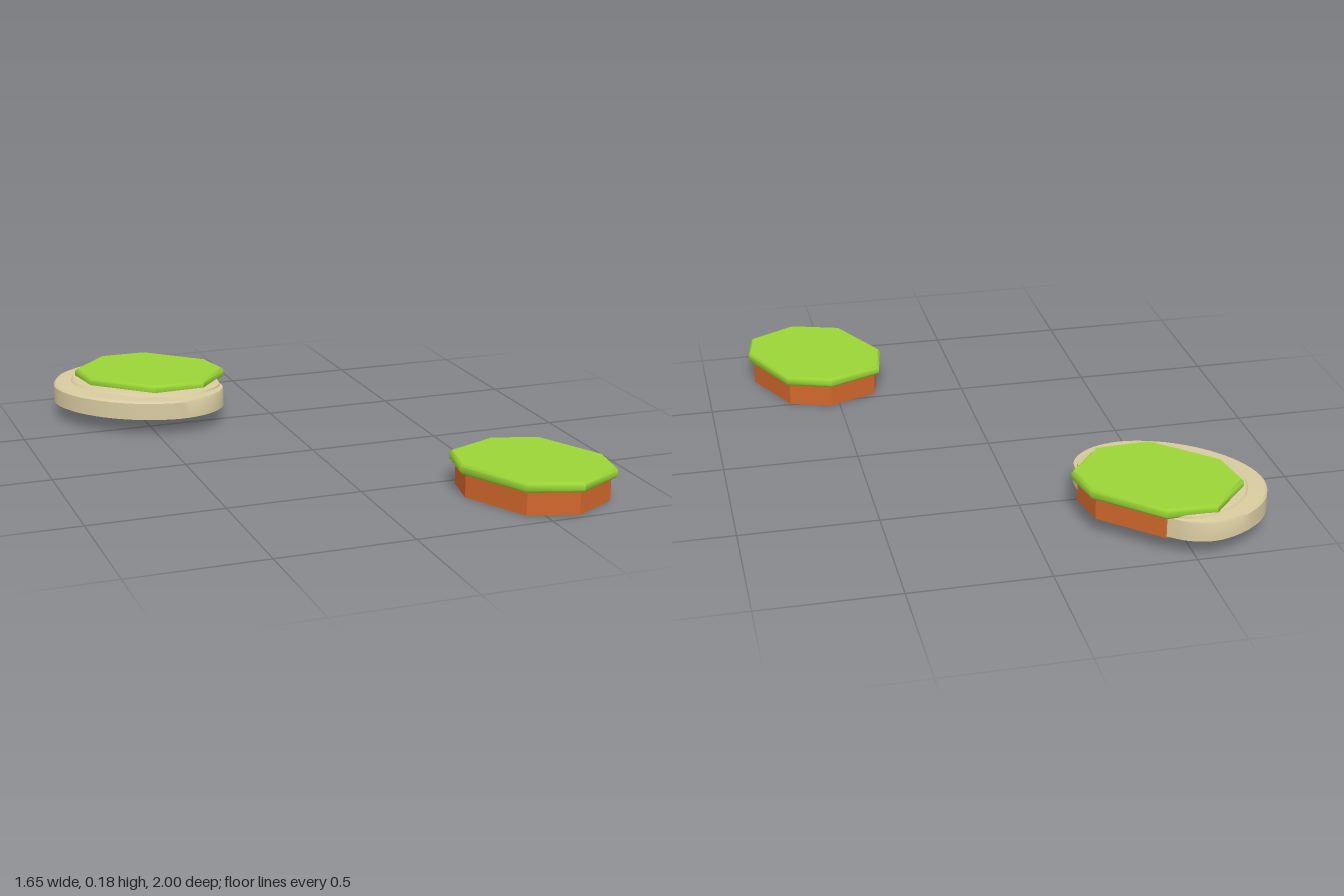
import * as THREE from 'three';
import { toCreasedNormals } from 'three/addons/utils/BufferGeometryUtils.js';

const grass = new THREE.MeshStandardMaterial({ name: 'grass green', color: 0x9ad436 });
const earth = new THREE.MeshStandardMaterial({ name: 'earth orange', color: 0xd0672c, side: THREE.DoubleSide });
const sand = new THREE.MeshStandardMaterial({ name: 'sand', color: 0xd8cba0, side: THREE.DoubleSide });

// Stacked closed loops, bottom to top, each clockwise seen from above.
function skin(loops, { top = false, bottom = false, crease = 0 } = {}) {
  const pos = [];
  const tri = (...pts) => pts.forEach((p) => pos.push(p.x, p.y, p.z));
  const centre = (loop) => loop.reduce((s, p) => s.add(p), new THREE.Vector3()).divideScalar(loop.length);
  const n = loops[0].length;
  const first = loops[0], last = loops[loops.length - 1];
  const lowCentre = centre(first), highCentre = centre(last);
  for (let i = 0; i < n; i++) {
    const j = (i + 1) % n;
    for (let k = 0; k + 1 < loops.length; k++) {
      const a = loops[k], b = loops[k + 1];
      tri(a[i], b[j], a[j]);
      tri(a[i], b[i], b[j]);
    }
    if (top) tri(highCentre, last[j], last[i]);
    if (bottom) tri(lowCentre, first[i], first[j]);
  }
  const g = new THREE.BufferGeometry();
  g.setAttribute('position', new THREE.Float32BufferAttribute(pos, 3));
  if (crease) return toCreasedNormals(g, crease);
  g.computeVertexNormals();
  return g;
}

function addMesh(parent, name, geometry, material) {
  const mesh = new THREE.Mesh(geometry, material);
  mesh.name = name;
  parent.add(mesh);
}

// Octagonal block: open earth shell under a bevelled grass slab.
function island(name, outline, y0, yGrass, yTop) {
  const group = new THREE.Group();
  group.name = name;
  const cx = outline.reduce((s, p) => s + p[0], 0) / outline.length;
  const cz = outline.reduce((s, p) => s + p[1], 0) / outline.length;
  const loop = (scale, y) => outline.map(([x, z]) =>
    new THREE.Vector3(cx + (x - cx) * scale, y, cz + (z - cz) * scale));
  addMesh(group, name + 'Earth', skin([loop(0.925, y0), loop(0.925, yGrass + 0.002)]), earth);
  addMesh(group, name + 'Grass', skin(
    [loop(0.975, yGrass), loop(1, yGrass + 0.008), loop(1, yTop - 0.009), loop(0.97, yTop)],
    { top: true, bottom: true, crease: 0.8 }), grass);
  return group;
}

// Curved sand ledge: open underneath, straight wall across its ends, raised inner step.
function sandLedge() {
  const path = new THREE.CatmullRomCurve3([
    [-0.2, -0.57], [-0.205, -0.47], [-0.28, -0.385], [-0.41, -0.35], [-0.57, -0.39],
    [-0.7, -0.48], [-0.79, -0.6], [-0.825, -0.73], [-0.78, -0.87], [-0.68, -0.96],
    [-0.56, -1.0], [-0.47, -0.98], [-0.4, -0.93],
  ].map(([x, z]) => new THREE.Vector3(x, 0, z)));
  const middle = new THREE.Vector3(-0.42, 0, -0.68);
  const steps = 56;
  const loop = (inset, y) => Array.from({ length: steps + 1 }, (_, i) => {
    const p = path.getPoint(i / steps);
    const shift = middle.clone().sub(p).setLength(inset * Math.sin(Math.PI * i / steps));
    return p.add(shift).setY(y);
  });
  return skin([
    loop(0, 0.065), loop(0, 0.13), loop(0.008, 0.138), loop(0.073, 0.14),
    loop(0.08, 0.148), loop(0.1, 0.15),
  ], { top: true, crease: 0.6 });
}

export function createModel() {
  const model = new THREE.Group();
  model.name = 'floatingIslands';
  const back = island('backIsland', [
    [-0.58, -0.955], [-0.4, -0.955], [-0.19, -0.76], [-0.16, -0.61],
    [-0.29, -0.455], [-0.49, -0.445], [-0.7, -0.64], [-0.725, -0.8],
  ], 0.06, 0.14, 0.178);
  addMesh(back, 'sandLedge', sandLedge(), sand);
  const front = island('frontIsland', [
    [0.53, 0.435], [0.7, 0.49], [0.825, 0.75], [0.8, 0.9],
    [0.62, 1.0], [0.43, 0.94], [0.3, 0.68], [0.33, 0.52],
  ], 0, 0.087, 0.125);
  model.add(back, front);
  return model;
}
